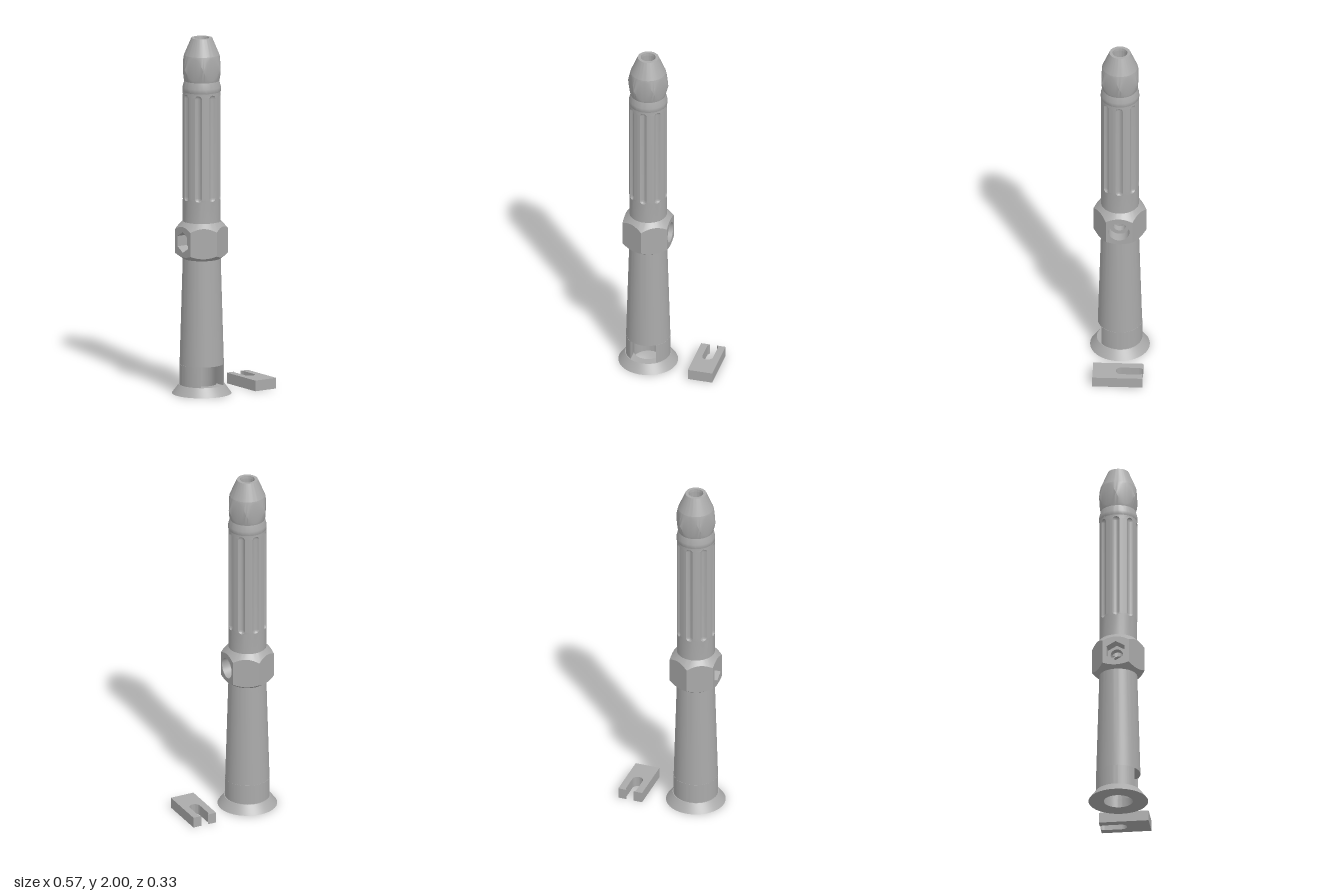
import * as THREE from 'three';
import { toCreasedNormals } from 'three/addons/utils/BufferGeometryUtils.js';

const metal = new THREE.MeshStandardMaterial({ color: 0xaaaaaa, side: THREE.DoubleSide });
metal.name = 'plain grey';

function part(name, geometry, parent) {
  const mesh = new THREE.Mesh(toCreasedNormals(geometry, 0.5), metal);
  mesh.name = name;
  parent.add(mesh);
  return mesh;
}

const lathe = (pts, segs = 72, start = 0, length = Math.PI * 2) =>
  new THREE.LatheGeometry(pts.map(([r, y]) => new THREE.Vector2(r, y)), segs, start, length);

// Grid skin wrapped around the y axis; at(i, j) returns [angle, radius, y]
function skin(cols, rows, at, skip = () => false) {
  const pos = [], index = [];
  for (let j = 0; j < rows; j++) {
    for (let i = 0; i <= cols; i++) {
      const [t, r, y] = at(i, j);
      pos.push(r * Math.sin(t), y, r * Math.cos(t));
      if (i === cols || j === rows - 1 || skip(i, j)) continue;
      const a = j * (cols + 1) + i, d = a + cols + 1;
      index.push(a, a + 1, d + 1, a, d + 1, d);
    }
  }
  const g = new THREE.BufferGeometry();
  g.setAttribute('position', new THREE.Float32BufferAttribute(pos, 3));
  g.setIndex(index);
  return g;
}

// Hexagonal prism trimmed above and below by cones
function hexSkin({ apothem, phase, bottom, low, high, top, skip }) {
  const R = apothem / Math.cos(Math.PI / 6);
  const onCone = ([r0, y0], y, r) => y0 + (y - y0) * (r - r0) / (R - r0);
  return skin(72, 4, (i, j) => {
    const r = apothem / Math.cos(((i % 12) / 12 - 0.5) * Math.PI / 3);
    const t = i / 72 * Math.PI * 2 + phase;
    if (j === 0) return [t, ...bottom];
    if (j === 3) return [t, ...top];
    return [t, r, j === 1 ? onCone(bottom, low, r) : onCone(top, high, r)];
  }, skip);
}

// Barrel skin with eight round-ended flutes
function flutedSkin(radius, y0, y1, f0, f1) {
  const half = 0.02, ends = [0, 0.15, 0.35, 0.6, 0.8, 1];
  const ys = [y0, ...ends.map(e => f0 + e * half), ...ends.map(e => f1 - (1 - e) * half), y1];
  return skin(96, ys.length, (i, j) => {
    const y = ys[j], k = i % 12, centre = Math.floor(i / 12) * Math.PI / 4;
    const d = Math.max(0, 1 - Math.min(y - f0, f1 - y) / half);
    const w = d >= 1 ? 0 : Math.sqrt(1 - d * d), edge = w * half / radius;
    if (k <= 8) {
      const t = k / 4 - 1;
      return [centre + t * edge, radius - 0.013 * (1 - t * t) * w, y];
    }
    return [centre + edge + (k - 8) / 4 * (Math.PI / 4 - 2 * edge), radius, y];
  });
}

const polygon = (Type, n, r) => new Type(Array.from({ length: n }, (_, i) => {
  const t = i / n * Math.PI * 2;
  return new THREE.Vector2(r * Math.sin(t), -r * Math.cos(t));
}));

// Side face of the hex collar with a recessed cross hole; sides = shape of the recess
function crossPort(sides, hex) {
  const port = new THREE.Group();
  port.name = sides === 6 ? 'nutPocketPort' : 'roundPort';
  const { apothem: a, bottom, low, high, top } = hex;
  const R = a / Math.cos(Math.PI / 6), outline = [], cy = 0.86, r = 0.058, floorZ = 0.065;
  for (const [end, y, dir] of [[bottom, low, 1], [top, high, -1]]) {
    for (let i = 0; i <= 12; i++) {
      const q = a / Math.cos((i / 12 - 0.5) * Math.PI / 3);
      const u = dir * a * Math.tan((i / 12 - 0.5) * Math.PI / 3);
      outline.push(new THREE.Vector2(u, end[1] + (y - end[1]) * (q - end[0]) / (R - end[0]) - cy));
    }
  }
  const face = new THREE.Shape(outline);
  face.holes.push(polygon(THREE.Path, sides, r));
  part('portFace', new THREE.ShapeGeometry(face).translate(0, 0, a), port);

  const depth = a - floorZ;
  part('recessWall', new THREE.CylinderGeometry(r, r, depth, sides, 1, true)
    .rotateX(Math.PI / 2).translate(0, 0, floorZ + depth / 2), port);
  const floor = polygon(THREE.Shape, sides, r);
  floor.holes.push(polygon(THREE.Path, 32, 0.035));
  part('recessFloor', new THREE.ShapeGeometry(floor).translate(0, 0, floorZ), port);
  part('crossHole', new THREE.CylinderGeometry(0.035, 0.035, 0.04, 32, 1, true)
    .rotateX(Math.PI / 2).translate(0, 0, floorZ - 0.02), port);
  port.position.y = cy;
  return port;
}

export function createModel() {
  const model = new THREE.Group();
  const tube = new THREE.Group();
  tube.name = 'tube';
  tube.position.x = -0.12;
  model.add(tube);

  // Flared foot
  part('footFlange', lathe([[0.08, 0], [0.165, 0], [0.128, 0.05], [0.08, 0.05], [0.08, 0]]), tube);

  // Wall around the front window
  const w = 0.073, rOut = 0.1235, rIn = 0.08, front = -Math.PI / 2;
  const gOut = Math.asin(w / rOut), gIn = Math.asin(w / rIn);
  const wall = new THREE.Shape();
  wall.absarc(0, 0, rOut, front + gOut, front + Math.PI * 2 - gOut, false);
  wall.absarc(0, 0, rIn, front + Math.PI * 2 - gIn, front + gIn, true);
  wall.closePath();
  part('windowWall', new THREE.ExtrudeGeometry(wall, { depth: 0.115, bevelEnabled: false, curveSegments: 64 })
    .rotateX(-Math.PI / 2).translate(0, 0.05, 0), tube);

  // Tapered lower body with a wide bore
  part('lowerBody', lathe([[0.08, 0.165], [0.1225, 0.165], [0.105, 0.76], [0.04, 0.76],
    [0.04, 0.72], [0.08, 0.7], [0.08, 0.165]]), tube);

  // Hex collar with ports on the two side faces
  const hex = {
    apothem: 0.1273, phase: 0, bottom: [0.105, 0.76], low: 0.79, high: 0.925, top: [0.105, 0.97],
    skip: (i, j) => j === 1 && Math.floor(i / 12) % 3 === 1,
  };
  part('hexCollar', hexSkin(hex), tube);
  for (const [sides, dir] of [[32, 1], [6, -1]]) {
    const port = crossPort(sides, hex);
    port.rotation.y = dir * Math.PI / 2;
    tube.add(port);
  }

  // Fluted barrel and its shoulder
  part('flutedBarrel', flutedSkin(0.105, 0.97, 1.7, 1.09, 1.69), tube);
  part('shoulder', lathe([[0.105, 1.7], [0.107, 1.705], [0.106, 1.725], [0.097, 1.76]]), tube);

  // Faceted ring and conical tip
  part('facetedRing', hexSkin({
    apothem: 0.1, phase: Math.PI / 6, bottom: [0.097, 1.76], low: 1.83, high: 1.83, top: [0.098, 1.905],
  }), tube);
  part('tip', lathe([[0.098, 1.905], [0.058, 2], [0.041, 2], [0.039, 1.985]]), tube);

  // Narrow bore, open at the sides where the cross hole passes
  part('upperBore', lathe([[0.039, 1.985], [0.039, 0.897]], 48), tube);
  part('lowerBore', lathe([[0.039, 0.823], [0.039, 0.76]], 48), tube);
  for (const centre of [0, Math.PI]) {
    part('boreSide', lathe([[0.039, 0.897], [0.039, 0.823]], 10, centre - 0.45, 0.9), tube);
  }

  // Separate forked clip with a snap-in slot
  const clip = new THREE.Shape();
  clip.moveTo(0.145, -0.137);
  clip.lineTo(0.285, -0.137);
  clip.lineTo(0.285, 0.14);
  clip.lineTo(0.236, 0.14);
  clip.quadraticCurveTo(0.246, 0.13, 0.246, 0.112);
  clip.lineTo(0.246, 0.021);
  clip.absarc(0.2155, 0.021, 0.0305, 0, -Math.PI, true);
  clip.lineTo(0.185, 0.112);
  clip.quadraticCurveTo(0.185, 0.13, 0.195, 0.14);
  clip.lineTo(0.145, 0.14);
  clip.closePath();
  part('forkedClip', new THREE.ExtrudeGeometry(clip, { depth: 0.06, bevelEnabled: false, curveSegments: 16 })
    .rotateX(-Math.PI / 2), model);

  return model;
}
